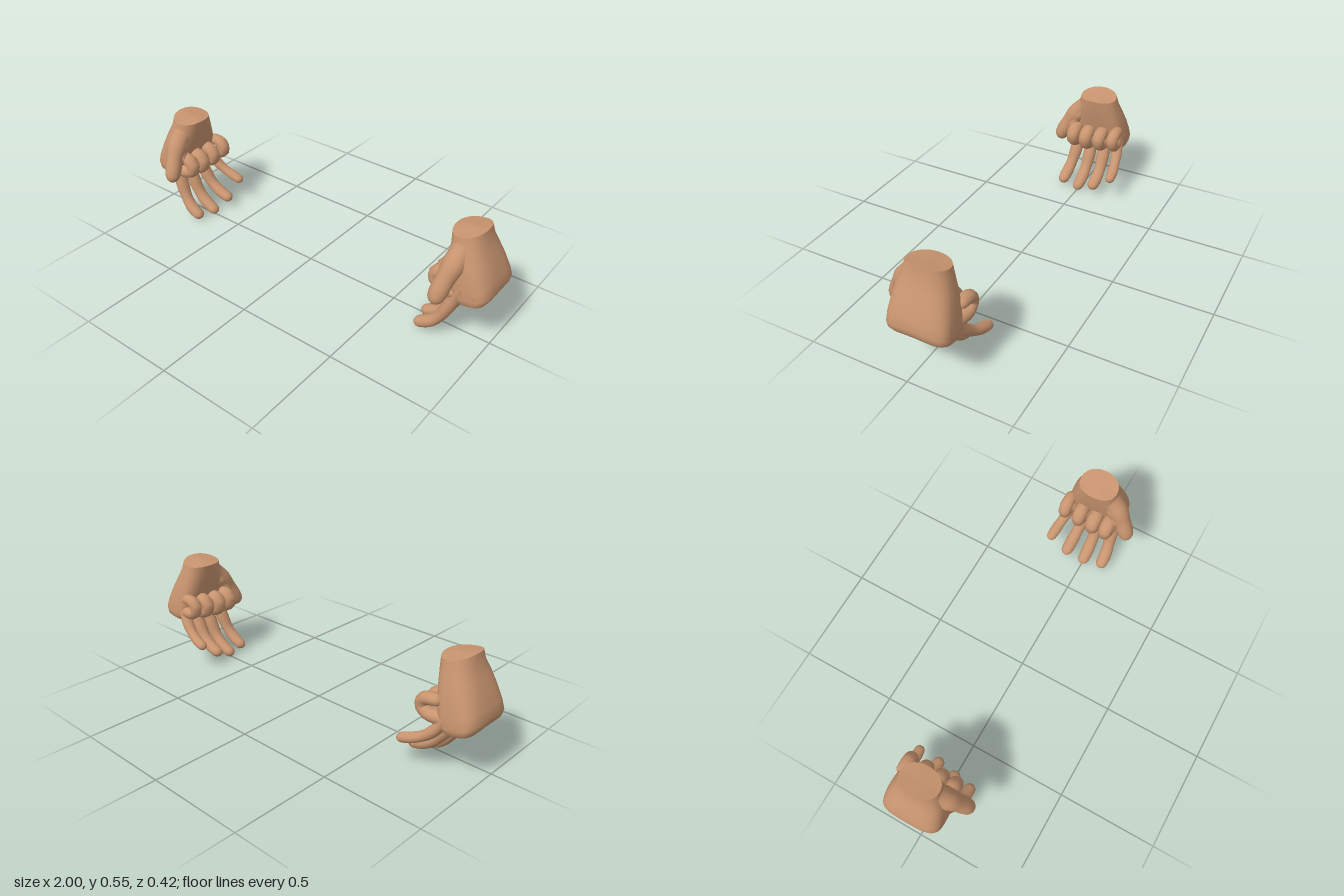
import * as THREE from 'three';

const V = (x, y, z) => new THREE.Vector3(x, y, z);

// Smooth skin stretched over a list of rings; side = -1 mirrors it in x
function loft(rings, side) {
  const n = rings[0].length, pos = [], idx = [];
  rings.flat().forEach(p => pos.push(p.x * side, p.y, p.z));
  const tri = (a, b, c) => side > 0 ? idx.push(a, b, c) : idx.push(a, c, b);
  for (let i = 0; i < rings.length - 1; i++) {
    for (let j = 0; j < n; j++) {
      const a = i * n + j, b = i * n + (j + 1) % n;
      tri(a, b, a + n);
      tri(b, b + n, a + n);
    }
  }
  const g = new THREE.BufferGeometry();
  g.setAttribute('position', new THREE.Float32BufferAttribute(pos, 3));
  g.setIndex(idx);
  g.computeVertexNormals();
  return g;
}

// Rounded-end digit along a curve; wide is measured along ref, thick across it
function digit(points, ref, r0, r1, thick, side, tension = 0.5) {
  const curve = new THREE.CatmullRomCurve3(points.map(p => V(...p)), false, 'catmullrom', tension);
  const end = r1 * 0.95 / curve.getLength(), rings = [];
  for (let i = 0; i <= 26; i++) {
    const t = Math.sin(i / 26 * Math.PI / 2);
    const c = curve.getPointAt(t), d = curve.getTangentAt(t);
    const k = Math.max(0, (t - 1 + end) / end);
    // slight swelling at the joints
    const joint = 1 + 0.05 * Math.cos(t * Math.PI * 5);
    const r = (r0 + (r1 - r0) * t) * joint * Math.sqrt(Math.max(0.0004, 1 - k * k));
    const u = ref.clone().addScaledVector(d, -ref.dot(d)).normalize();
    const v = d.clone().cross(u);
    rings.push(Array.from({ length: 14 }, (_, j) => {
      const a = j / 14 * Math.PI * 2;
      return c.clone().addScaledVector(u, Math.cos(a) * r).addScaledVector(v, Math.sin(a) * r * thick);
    }));
  }
  return loft(rings, side);
}

// Rounded-box outline of the palm, tilted so the back of the hand is higher
function palmRing([y, x0, x1, z0, z1, power], scale = 1) {
  const cx = (x0 + x1) / 2, cz = (z0 + z1) / 2, n = 36;
  const soft = w => Math.sign(w) * Math.abs(w) ** (2 / power);
  return Array.from({ length: n }, (_, j) => {
    const a = j / n * Math.PI * 2;
    const dx = soft(Math.cos(a)) * (x1 - x0) / 2 * scale;
    const dz = soft(Math.sin(a)) * (z1 - z0) / 2 * scale;
    return V(cx + dx, y + dx * 0.18 - 0.05 * dz * dz / 0.05, cz + dz);
  });
}

// height, inner x, outer x, back z, front z, squareness
const PALM = [
  [0.545, 0.757, 0.906, -0.135, 0.062, 2.2],
  [0.50, 0.763, 0.914, -0.147, 0.072, 2.4],
  [0.45, 0.772, 0.935, -0.165, 0.092, 2.7],
  [0.39, 0.785, 0.962, -0.181, 0.102, 3.1],
  [0.33, 0.80, 0.986, -0.191, 0.108, 3.5],
  [0.29, 0.815, 0.998, -0.195, 0.109, 3.6],
  [0.265, 0.835, 0.994, -0.190, 0.106, 3.4],
];

// Relaxed fingers hanging down, index to little
const OPEN = [
  [[0.88, 0.31, 0.072], [0.835, 0.21, 0.078], [0.795, 0.125, 0.087], [0.75, 0.072, 0.095], [0.675, 0.030, 0.098]],
  [[0.88, 0.31, -0.004], [0.832, 0.20, -0.004], [0.785, 0.11, -0.003], [0.73, 0.058, -0.002], [0.655, 0.022, 0]],
  [[0.88, 0.31, -0.084], [0.832, 0.215, -0.086], [0.78, 0.135, -0.092], [0.72, 0.090, -0.096], [0.64, 0.062, -0.098]],
  [[0.88, 0.32, -0.158], [0.828, 0.24, -0.166], [0.78, 0.19, -0.178], [0.72, 0.157, -0.190], [0.645, 0.132, -0.198]],
];

// Curled fingers: z at the knuckle, z at the curl, lift, radius
const CURLED = [
  [0.068, 0.068, 0.0, 0.037],
  [-0.006, -0.006, -0.004, 0.038],
  [-0.082, -0.086, 0.004, 0.036],
  [-0.152, -0.166, 0.016, 0.033],
];

function buildHand(side, skin) {
  const hand = new THREE.Group();
  hand.name = side > 0 ? 'leftHand' : 'rightHand';
  const add = (geometry, name) => {
    const mesh = new THREE.Mesh(geometry, skin);
    mesh.name = name;
    hand.add(mesh);
  };
  const names = ['index', 'middle', 'ring', 'little'];

  // Palm with rounded knuckle edge, and flat wrist cap
  const last = PALM[PALM.length - 1];
  const low = [0.25, ...last.slice(1)];
  add(loft([...PALM.map(s => palmRing(s)), palmRing(low, 0.9), palmRing(low, 0.01)], side), 'palm');
  add(loft([palmRing(PALM[0], 0.01), palmRing(PALM[0])], side), 'wristCap');

  // Both finger sets
  const zAxis = V(0, 0, 1);
  OPEN.forEach((pts, i) => {
    const r = i === 3 ? 0.031 : 0.036;
    add(digit(pts, zAxis, r, r * 0.84, 0.88, side), names[i] + 'OpenFinger');
  });
  CURLED.forEach(([z0, z1, h, r], i) => {
    const pts = [[0.945, 0.295 + h, z0], [0.85, 0.266 + h, z0], [0.775, 0.268 + h, z1],
      [0.738, 0.290 + h, z1], [0.742, 0.326 + h, z1], [0.775, 0.342 + h, z1], [0.835, 0.345 + h, z1]];
    add(digit(pts, zAxis, r * 1.03, r * 0.92, 0.9, side, 0.4), names[i] + 'CurledFinger');
  });

  // Thumb, with its fleshy base
  add(digit([[0.835, 0.49, 0.005], [0.828, 0.43, 0.070], [0.815, 0.365, 0.118], [0.803, 0.305, 0.150], [0.793, 0.245, 0.176]],
    V(1, 0, 0), 0.058, 0.035, 1.0, side), 'thumb');
  add(digit([[0.84, 0.46, 0.03], [0.82, 0.39, 0.08], [0.80, 0.31, 0.10]],
    V(1, 0, 0), 0.058, 0.038, 0.8, side), 'thumbBase');
  return hand;
}

export function createModel() {
  const skin = new THREE.MeshStandardMaterial({ color: 0xc8946f });
  skin.name = 'skin';
  const model = new THREE.Group();
  model.name = 'pairOfHands';
  for (const side of [1, -1]) model.add(buildHand(side, skin));
  return model;
}
